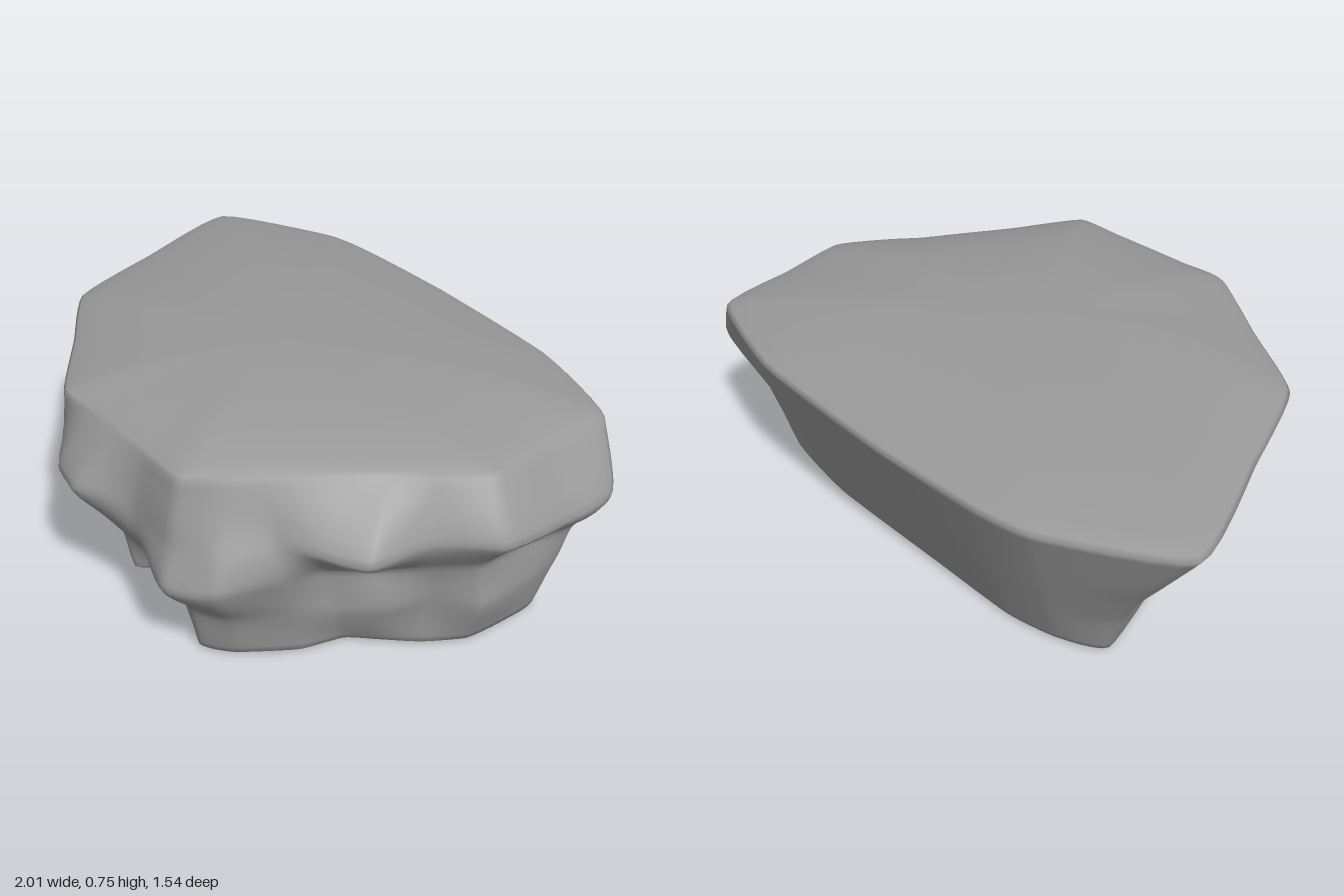
import * as THREE from 'three';

// Horizontal outlines, all with matching corners; x,z pairs running left, front, right, back.
const RIM = [-1, -.55, -.9, -.12, -.8, .23, -.55, .43, -.3, .63, -.15, .635, -.02, .64, .15, .645, .31, .65, .4, .54, .47, .44,
  .6, .28, .68, .18, .77, .09, .88, -.05, .88, -.28, .88, -.53, .53, -.68, 0, -.75, -.4, -.77, -.6, -.75];
const BULGE = [-.88, -.53, -.8, -.12, -.72, .2, -.53, .41, -.34, .61, -.2, .73, -.06, .77, .12, .69, .31, .69, .43, .61, .53, .48,
  .65, .42, .78, .34, .82, .16, .98, 0, .99, -.25, .99, -.47, .52, -.616, 0, -.68, -.38, -.703, -.57, -.683];
const WAIST = [-.79, -.5, -.72, -.12, -.65, .17, -.49, .33, -.3, .51, -.16, .59, -.03, .69, .14, .67, .33, .73, .48, .66, .55, .49,
  .58, .33, .67, .2, .77, .1, .87, -.02, .88, -.22, .91, -.42, .51, -.567, 0, -.627, -.36, -.652, -.55, -.632];
const FOOT = [-.71, -.46, -.64, -.12, -.59, .15, -.44, .32, -.27, .49, -.14, .56, -.04, .56, .1, .56, .3, .62, .43, .57, .53, .41,
  .6, .29, .69, .19, .76, .06, .88, -.04, .89, -.22, .87, -.39, .51, -.51, 0, -.566, -.34, -.593, -.525, -.573];
const BASE = [-.65, -.44, -.6, -.12, -.54, .14, -.4, .31, -.26, .45, -.14, .52, -.07, .43, .12, .49, .3, .59, .4, .53, .52, .37,
  .57, .23, .65, .15, .74, .06, .82, -.06, .84, -.2, .83, -.36, .5, -.45, 0, -.5, -.32, -.53, -.5, -.51];

const SIDES = 21 * 6;

// Resample an outline into a softly cornered loop at height y
function loop(outline, y) {
  const pts = [];
  for (let i = 0; i < outline.length; i += 2) pts.push(new THREE.Vector3(outline[i], y, outline[i + 1]));
  const curve = new THREE.CatmullRomCurve3(pts, true, 'catmullrom', 0.25);
  return Array.from({ length: SIDES }, (_, i) => curve.getPoint(i / SIDES));
}

// Shrink a loop towards the middle and set its height
const inset = (ring, s, y) => ring.map(p => new THREE.Vector3(p.x * s, y, p.z * s));

function rockGeometry() {
  const levels = [loop(BASE, .018), loop(FOOT, .19), loop(WAIST, .35), loop(BULGE, .49), loop(RIM, .672)];
  const rings = [];

  // Slightly dished underside
  for (const [s, y] of [[.01, .006], [.5, .004], [.97, .007]]) rings.push(inset(levels[0], s, y));

  // Walls: sloping above the bulge, hollowed and chipped below it on the broken side
  const columns = levels[0].map((_, i) =>
    new THREE.CatmullRomCurve3(levels.map(l => l[i]), false, 'catmullrom', 0.3));
  const STEPS = 24;
  for (let k = 0; k <= STEPS; k++) {
    const t = k / STEPS;
    rings.push(columns.map(c => {
      const p = c.getPoint(t);
      const broken = THREE.MathUtils.smoothstep(p.x * .6 + p.z, 0, .35);
      const fade = Math.sin(Math.PI * t) * broken;
      const chip = .01 * Math.sin(p.x * 11 + p.y * 13) * Math.sin(p.z * 8 - p.y * 15 + 1);
      const r = Math.hypot(p.x, p.z);
      p.x += p.x / r * chip * fade;
      p.z += p.z / r * chip * fade;
      p.y += .015 * fade * Math.sin(p.x * 9 - p.z * 6);
      return p;
    }));
  }

  // Gently domed top
  for (const s of [.985, .92, .8, .65, .45, .25, .01]) rings.push(inset(levels[4], s, .758 - .078 * s ** 3));

  const position = rings.flat().flatMap(p => [p.x, p.y, p.z]);
  const index = [];
  for (let r = 0; r < rings.length - 1; r++) {
    for (let i = 0; i < SIDES; i++) {
      const j = (i + 1) % SIDES;
      const a = r * SIDES + i, b = r * SIDES + j, c = a + SIDES, d = b + SIDES;
      index.push(a, b, d, a, d, c);
    }
  }
  // Close the tiny holes at the bottom and top centres
  const last = (rings.length - 1) * SIDES;
  for (let i = 1; i < SIDES - 1; i++) index.push(0, i + 1, i, last, last + i, last + i + 1);

  const geometry = new THREE.BufferGeometry();
  geometry.setAttribute('position', new THREE.Float32BufferAttribute(position, 3));
  geometry.setIndex(index);
  geometry.computeVertexNormals();
  return geometry;
}

export function createModel() {
  const group = new THREE.Group();
  group.name = 'rock';
  const stone = new THREE.MeshStandardMaterial({ color: 0x999999 });
  stone.name = 'grey stone';
  const slab = new THREE.Mesh(rockGeometry(), stone);
  slab.name = 'rockSlab';
  group.add(slab);
  return group;
}
